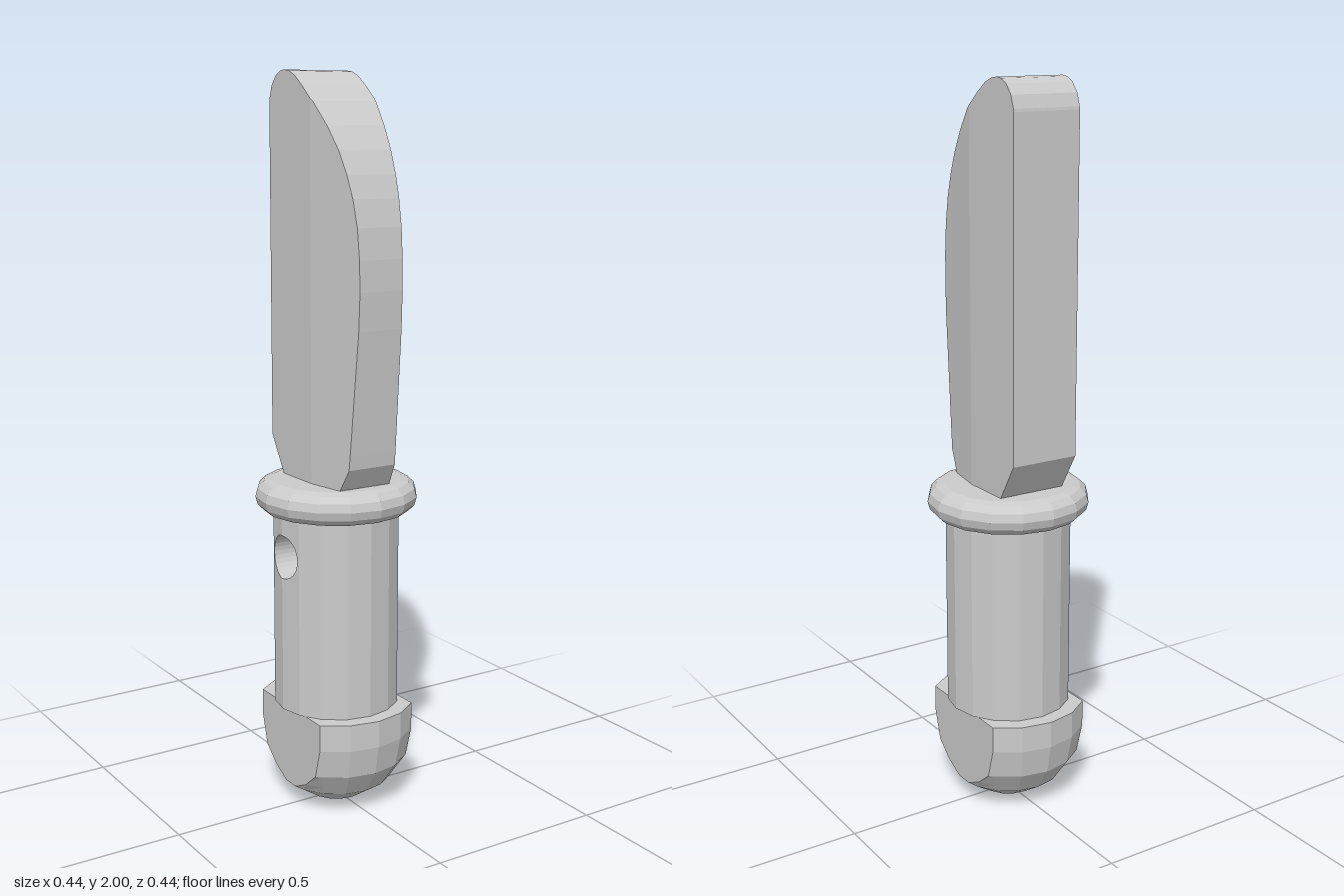
import * as THREE from 'three';
import { mergeGeometries } from 'three/addons/utils/BufferGeometryUtils.js';

const SIDES = 16;
const grey = new THREE.MeshStandardMaterial({ color: 0xcccccc, flatShading: true });
const greyInside = new THREE.MeshStandardMaterial({ color: 0xcccccc, flatShading: true, side: THREE.DoubleSide });

function part(name, geometry, material = grey) {
  const mesh = new THREE.Mesh(geometry, material);
  mesh.name = name;
  return mesh;
}

// Skin a stack of convex loops (bottom to top, front towards +x first) and cap both ends.
function loft(rows) {
  const out = [];
  const tri = (...points) => points.forEach((p) => out.push(p.x, p.y, p.z));
  const n = rows[0].length;
  const centre = (row) => row.reduce((s, p) => s.add(p), new THREE.Vector3()).divideScalar(n);
  const first = rows[0], last = rows[rows.length - 1];
  const c0 = centre(first), c1 = centre(last);
  for (let j = 0; j < n; j++) {
    const k = (j + 1) % n;
    tri(c0, first[k], first[j]);
    tri(c1, last[j], last[k]);
    for (let i = 0; i < rows.length - 1; i++) {
      tri(rows[i][j], rows[i][k], rows[i + 1][k]);
      tri(rows[i][j], rows[i + 1][k], rows[i + 1][j]);
    }
  }
  const geometry = new THREE.BufferGeometry();
  geometry.setAttribute('position', new THREE.Float32BufferAttribute(out, 3));
  geometry.computeVertexNormals();
  return geometry;
}

// Blade: each row is y, back z, front z; sides taper towards the cutting edge.
function bladeGeometry() {
  const crease = 0.03;
  const profile = [
    [0.92, -0.112, 0.138], [0.985, -0.151, 0.175], [1.025, -0.175, 0.179],
    [1.2, -0.175, 0.195], [1.35, -0.175, 0.209], [1.45, -0.175, 0.213],
    [1.53, -0.175, 0.211], [1.61, -0.175, 0.203], [1.68, -0.175, 0.187],
    [1.74, -0.175, 0.165], [1.8, -0.175, 0.135], [1.86, -0.175, 0.093],
    [1.92, -0.175, 0.04], [1.927, -0.174, 0.03], [1.96, -0.163, -0.01],
    [1.985, -0.142, -0.045], [1.997, -0.12, -0.075], [2.0, -0.1, -0.098],
  ];
  const halfWidth = (z) => 0.098 - 0.033 * Math.max(0, (z - crease) / 0.183);
  return loft(profile.map(([y, back, front]) => {
    const mid = Math.min(crease, front);
    const right = [front, mid, back].map((z) => new THREE.Vector3(halfWidth(z), y, z));
    const left = [back, mid, front].map((z) => new THREE.Vector3(-halfWidth(z), y, z));
    return [left[2], right[0], right[1], right[2], left[0], left[1]];
  }));
}

// Pommel: round-bottomed plug sliced flat on both sides.
function pommelGeometry() {
  const flat = 0.15, R = 0.215;
  const levels = [[0.002, 0.001], [0.016, 0.082], [0.063, 0.152], [0.09, 0.17],
    [0.133, 0.199], [R, R], [0.29, R]];
  return loft(levels.map(([y, r]) => {
    const limit = Math.asin(Math.min(1, flat / r));
    const arc = [];
    for (let k = -4; k <= 4; k++) {
      const a = THREE.MathUtils.clamp((k * 2 * Math.PI) / SIDES, -limit, limit);
      arc.push(new THREE.Vector3(r * Math.sin(a), y, r * Math.cos(a)));
    }
    return [...arc, ...arc.map((p) => new THREE.Vector3(-p.x, y, -p.z))];
  }));
}

// Guard: rounded collar closed with a flat disc.
function guardGeometry() {
  const points = [new THREE.Vector2(0, 0.835)];
  for (let i = 0; i <= 6; i++) {
    const a = -Math.PI / 2 + (i * Math.PI) / 6;
    points.push(new THREE.Vector2(0.176 + 0.046 * Math.cos(a), 0.88 + 0.045 * Math.sin(a)));
  }
  points.push(new THREE.Vector2(0, 0.925));
  return new THREE.LatheGeometry(points, SIDES);
}

// Grip: flat panels round a cylinder, two of them notched for the hole.
function createGrip() {
  const r = 0.173, y0 = 0.29, y1 = 0.85, holeY = 0.725, holeR = 0.06;
  const step = Math.PI / SIDES;
  const h = r * Math.sin(step);
  const panels = [];
  for (let i = 0; i < SIDES; i++) {
    const notch = i === 11 ? 1 : i === 12 ? -1 : 0;
    const s = notch || 1;
    const shape = new THREE.Shape().moveTo(-h * s, y0).lineTo(h * s, y0);
    if (notch) {
      shape.lineTo(h * s, holeY - holeR);
      shape.absellipse(h * s, holeY, holeR / Math.cos(step), holeR, -Math.PI / 2, Math.PI / 2, s > 0);
    }
    shape.lineTo(h * s, y1).lineTo(-h * s, y1);
    panels.push(new THREE.ShapeGeometry(shape, 8)
      .translate(0, 0, r * Math.cos(step))
      .rotateY((2 * i + 1) * step));
  }
  panels.push(new THREE.CircleGeometry(r, SIDES).rotateX(Math.PI / 2).translate(0, y0, 0));

  // Blind bore whose mouth follows the panels
  const depth = 0.1;
  const bore = new THREE.CylinderGeometry(holeR, holeR, depth, 32, 1, true)
    .rotateZ(Math.PI / 2).translate(-r + depth / 2, holeY, 0);
  const pos = bore.attributes.position;
  for (let i = 0; i < pos.count; i++) {
    if (pos.getX(i) < -r + 0.01) pos.setX(i, -r + Math.abs(pos.getZ(i)) * Math.tan(step));
  }
  bore.computeVertexNormals();
  const boreEnd = new THREE.CircleGeometry(holeR, 32).rotateY(-Math.PI / 2).translate(-r + depth, holeY, 0);

  const grip = new THREE.Group();
  grip.name = 'grip';
  grip.add(part('gripWall', mergeGeometries(panels)),
    part('hole', mergeGeometries([bore, boreEnd]), greyInside));
  return grip;
}

export function createModel() {
  const model = new THREE.Group();
  model.name = 'knife';
  model.add(
    part('blade', bladeGeometry()),
    part('guard', guardGeometry()),
    createGrip(),
    part('pommel', pommelGeometry()),
  );
  return model;
}
